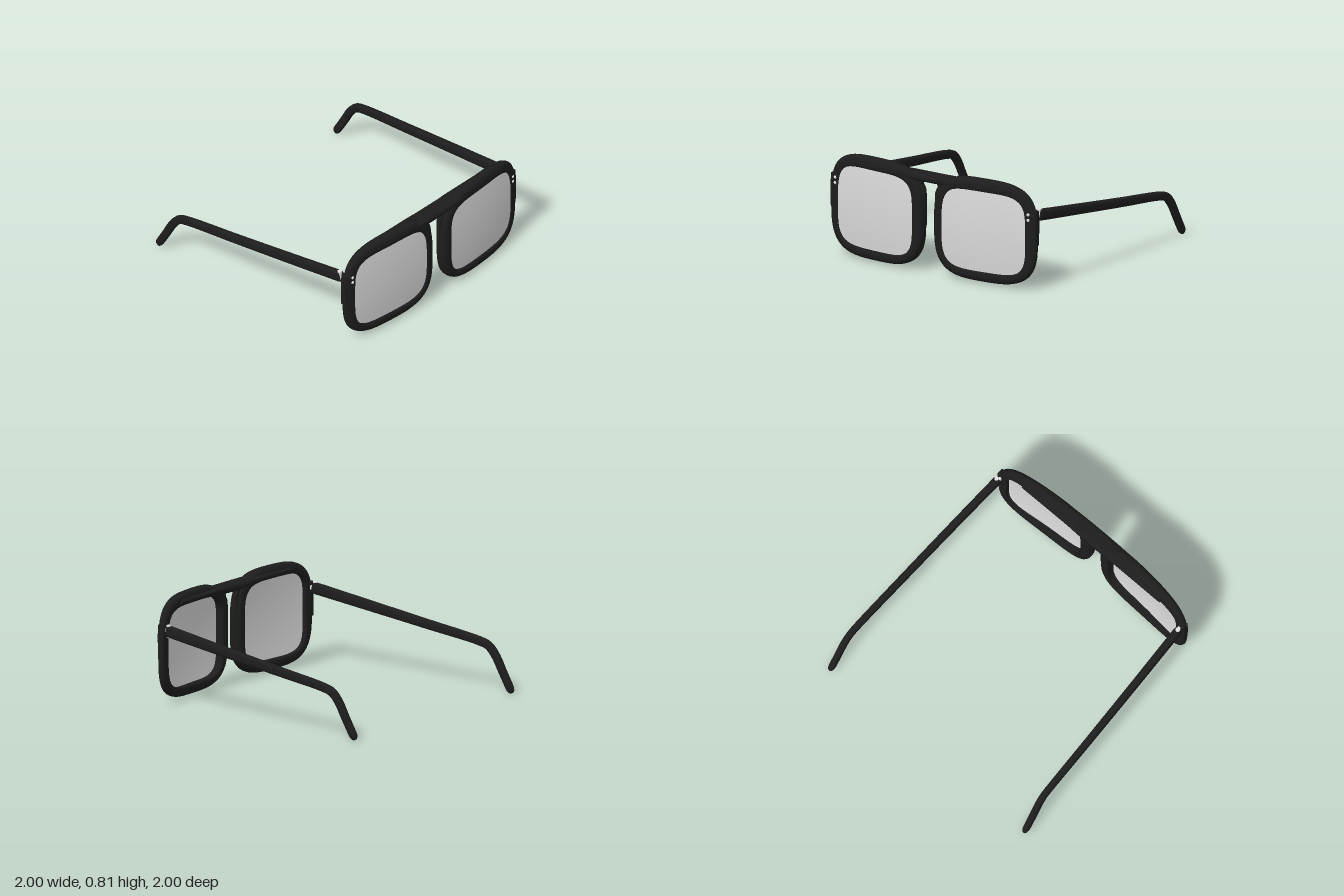
import * as THREE from 'three';
import { toCreasedNormals } from 'three/addons/utils/BufferGeometryUtils.js';

const frameMat = new THREE.MeshStandardMaterial({ color: 0x1d1d1d });
frameMat.name = 'black acetate';
const lensMat = new THREE.MeshStandardMaterial({ color: 0xdadada });
lensMat.name = 'grey lens';
const metalMat = new THREE.MeshStandardMaterial({ color: 0xe2e2e2 });
metalMat.name = 'silver metal';

// Bowed front and back surfaces of the frame
const frontZ = (x) => 0.996 - 0.08 * Math.pow(Math.abs(x) / 0.93, 2.4);
const backZ = (x) => 0.892 - 0.037 * Math.pow(x / 0.93, 2);

// Point on a rounded square at angle t
function roundedSquare(t, cx, cy, a, b, n) {
  const c = Math.cos(t), s = Math.sin(t);
  const r = Math.pow(Math.pow(Math.abs(c) / a, n) + Math.pow(Math.abs(s) / b, n), -1 / n);
  return [cx + r * c, cy + r * s];
}

// Skin over closed rings of equal length; each ring is an array of [x, y, z]
function loft(rings, closed, crease) {
  const m = rings[0].length, idx = [];
  const count = closed ? rings.length : rings.length - 1;
  for (let i = 0; i < count; i++) {
    const k = (i + 1) % rings.length;
    for (let j = 0; j < m; j++) {
      const l = (j + 1) % m;
      const a = i * m + j, b = i * m + l, c = k * m + l, d = k * m + j;
      idx.push(a, d, b, b, d, c);
    }
  }
  const g = new THREE.BufferGeometry();
  g.setAttribute('position', new THREE.Float32BufferAttribute(rings.flat(2), 3));
  g.setIndex(idx);
  return toCreasedNormals(g, crease);
}

const around = (n, fn) => Array.from({ length: n }, (_, j) => fn((j / n) * Math.PI * 2));

function add(group, name, geometry, material) {
  const mesh = new THREE.Mesh(geometry, material);
  mesh.name = name;
  group.add(mesh);
  return mesh;
}

const lensEdge = (t, side) => roundedSquare(t, side * 0.495, 0.414, 0.36, 0.316, 4.5);

// Rim: profile runs from the lens edge (0) to the outside (1), and front (1) to back (0)
function rimGeometry(side) {
  const profile = [[0, 0.95], [0.12, 1], [0.4, 1], [0.6, 0.98], [0.78, 0.92], [0.91, 0.81], [0.98, 0.66], [1, 0.5],
    [0.98, 0.34], [0.91, 0.19], [0.78, 0.08], [0.6, 0.02], [0.4, 0], [0.12, 0], [0, 0.05]];
  return loft(profile.map(([u, w]) => around(96, (t) => {
    const [ix, iy] = lensEdge(t, side);
    const [ox, oy] = roundedSquare(t, side * 0.494, 0.42, 0.444, 0.402, 3.3);
    const x = ix + (ox - ix) * u, y = iy + (oy - iy) * u;
    return [x, y, backZ(x) + w * (frontZ(x) - backZ(x))];
  })), true, 0.75);
}

// Lens: a thin domed sheet set near the front of the rim
function lensGeometry(side) {
  const steps = [0.001, 0.15, 0.3, 0.45, 0.6, 0.75, 0.88, 1];
  const ring = (s, inset) => around(72, (t) => {
    const [ex, ey] = lensEdge(t, side);
    const x = side * 0.495 + (ex - side * 0.495) * s, dy = (ey - 0.414) * s;
    return [x, 0.414 + dy, frontZ(x) - inset - 0.16 * dy * dy];
  });
  const rings = steps.map((s) => ring(s, 0.004));
  rings.push(...steps.slice().reverse().map((s) => ring(s, 0.03)));
  return loft(rings, false, 0.6);
}

// Temple arm: tapering rounded bar that bends down behind the ear
function templeGeometry(side) {
  const path = new THREE.CatmullRomCurve3([
    [0.906, 0.584, 0.832], [0.929, 0.517, 0.35], [0.952, 0.441, -0.2], [0.97, 0.373, -0.69],
    [0.972, 0.35, -0.765], [0.974, 0.285, -0.828], [0.975, 0.165, -0.897], [0.975, 0.014, -0.985],
  ].map((p) => new THREE.Vector3(...p)), false, 'centripetal');
  const N = 64, rings = [];
  const ring = (f, s) => {
    const p = path.getPointAt(f), d = path.getTangentAt(f);
    const len = Math.hypot(d.y, d.z), uy = -d.z / len, uz = d.y / len;
    const w = (0.03 - 0.006 * f) * s, h = (0.044 - 0.014 * f) * s;
    return around(24, (t) => {
      const [a, b] = roundedSquare(t, 0, 0, w, h, 3.5);
      return [side * p.x + a, p.y + b * uy, p.z + b * uz];
    });
  };
  rings.push(ring(0, 0.001), ring(0, 0.9), ring(0.004, 1));
  for (let i = 1; i < N - 1; i++) rings.push(ring(i / N, 1));
  rings.push(ring(0.985, 0.95), ring(0.994, 0.75), ring(1, 0.45), ring(1, 0.001));
  return loft(rings, false, 0.8);
}

// Brow bar: straight at the back, bowed at the front, forming the bridge in the middle
function browBarGeometry() {
  const ring = (x, s) => around(32, (t) => {
    const front = frontZ(x) + 0.002, back = 0.857;
    const inRim = THREE.MathUtils.smoothstep(Math.abs(x), 0.1, 0.25);
    const [y, z] = roundedSquare(t, 0.75 + 0.008 * inRim, (front + back) / 2,
      (0.031 - 0.009 * inRim) * s, ((front - back) / 2) * s, 3.5);
    return [x, y, z];
  });
  const xs = Array.from({ length: 25 }, (_, i) => 0.69 * (1 - i / 12));
  return loft([ring(0.7, 0.001), ring(0.7, 0.7), ...xs.map((x) => ring(x, 1)), ring(-0.7, 0.7), ring(-0.7, 0.001)],
    false, 0.8);
}

// Bevelled plate from an outline, centred on z = 0
function plateGeometry(points, depth, bevel) {
  const shape = new THREE.Shape(points.map(([x, y]) => new THREE.Vector2(x, y)));
  const g = new THREE.ExtrudeGeometry(shape, {
    depth: depth - 2 * bevel, bevelEnabled: true, bevelSize: bevel, bevelThickness: bevel, bevelSegments: 3,
  });
  g.translate(0, 0, bevel - depth / 2);
  return toCreasedNormals(g, 0.7);
}

// Nose pad outline, curving outward below the bridge
const nosePad = [[0.055, 0.37], [0.1, 0.35], [0.15, 0.74], [0.055, 0.74], [0.055, 0.727], [0.072, 0.718],
  [0.081, 0.702], [0.08, 0.688], [0.066, 0.668], [0.058, 0.645], [0.055, 0.61]];
const endPiece = [[-0.02, -0.122], [0.015, -0.122], [0.017, 0.06], [0.012, 0.13], [-0.02, 0.13]];
const mirrored = (points, side) => points.map(([x, y]) => [x * side, y]);

export function createModel() {
  const model = new THREE.Group();
  model.name = 'glasses';
  add(model, 'browBar', browBarGeometry(), frameMat);

  for (const side of [1, -1]) {
    const label = side > 0 ? 'left' : 'right';
    const half = new THREE.Group();
    half.name = label + 'Half';
    model.add(half);

    add(half, label + 'Rim', rimGeometry(side), frameMat);
    add(half, label + 'Lens', lensGeometry(side), lensMat);
    add(half, label + 'Temple', templeGeometry(side), frameMat);
    add(half, label + 'NosePad', plateGeometry(mirrored(nosePad, side), 0.04, 0.008), frameMat).position.z = 0.935;
    add(half, label + 'EndPiece', plateGeometry(mirrored(endPiece, side), 0.055, 0.008), frameMat)
      .position.set(side * 0.913, 0.49, 0.881);

    // Hinge barrel and the leaf joining rim to temple
    add(half, label + 'HingeBarrel', new THREE.CylinderGeometry(0.017, 0.017, 0.094, 20), metalMat)
      .position.set(side * 0.91, 0.585, 0.82);
    add(half, label + 'HingeLeaf', new THREE.BoxGeometry(0.02, 0.03, 0.04), metalMat)
      .position.set(side * 0.9, 0.585, 0.842);

    // Two rivets on the front corner
    for (const y of [0.56, 0.603]) {
      const rivet = add(half, label + 'Rivet', new THREE.SphereGeometry(0.013, 16, 10), metalMat);
      rivet.scale.z = 0.7;
      rivet.position.set(side * 0.88, y, frontZ(0.88) - 0.001);
    }
  }
  return model;
}
